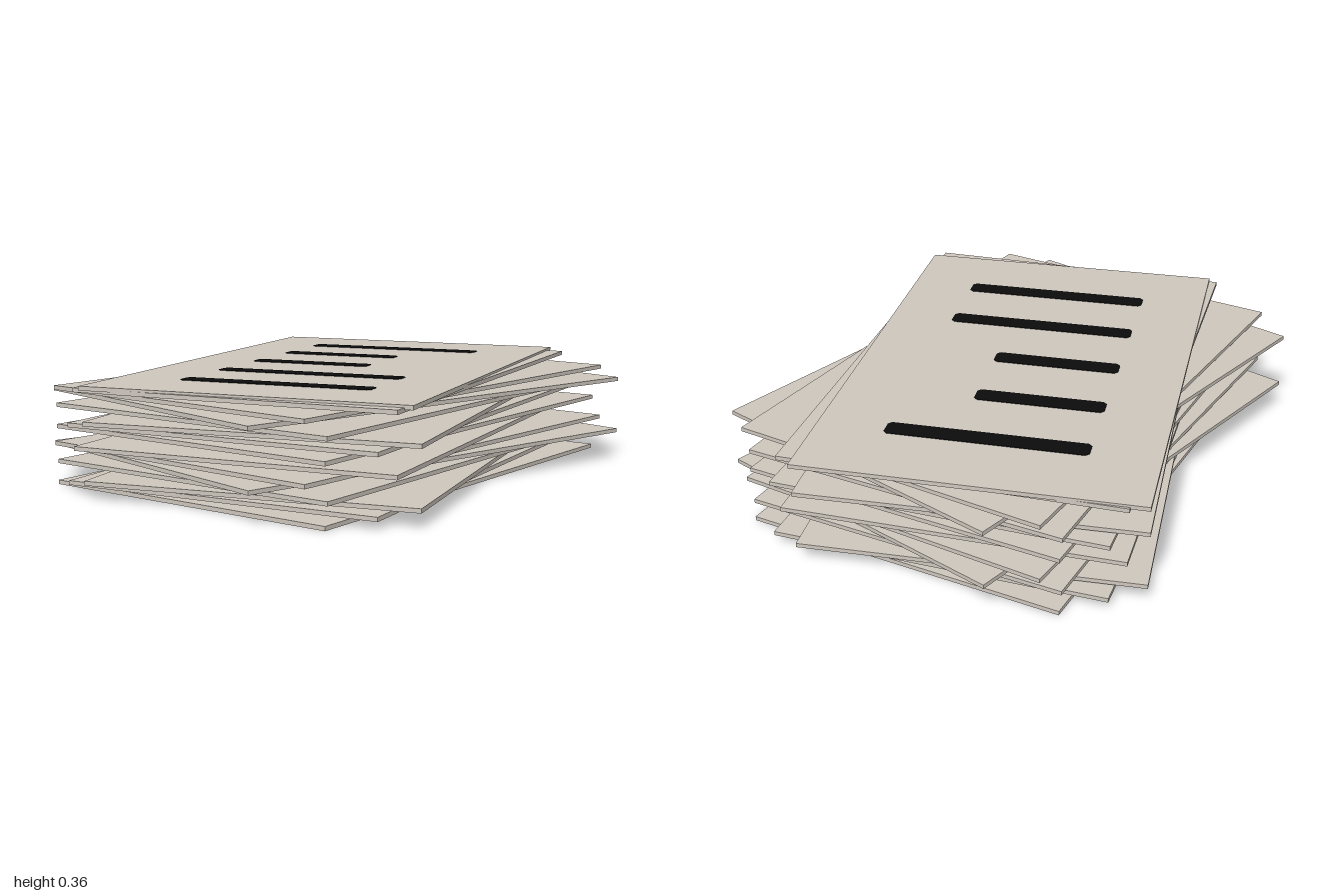
import * as THREE from 'three';

const WIDTH = 1.11, DEPTH = 1.67, THICK = 0.014;

// Height and turn of each sheet in one bundle of seven
const BUNDLE = [
  [0.007, -0.26], [0.033, -0.11], [0.053, 0.0175], [0.079, -0.253],
  [0.103, -0.483], [0.128, -0.318], [0.153, -0.054],
];
const BUNDLE_HEIGHT = 0.188;

// Printed bars on the top sheet: z position and right end
const BARS = [[-0.575, 0.315], [-0.3, 0.09], [0.02 - 0.04, 0.09], [0.26, 0.315], [0.535, 0.315]];

// Flat bar with small clipped corners, lying in the xz plane
function barGeometry(length, width, height) {
  const l = length / 2, w = width / 2, c = 0.012;
  const shape = new THREE.Shape([
    [-l, -w + c], [-l + c, -w], [l - c, -w], [l, -w + c],
    [l, w - c], [l - c, w], [-l + c, w], [-l, w - c],
  ].map(([x, y]) => new THREE.Vector2(x, y)));
  return new THREE.ExtrudeGeometry(shape, { depth: height, bevelEnabled: false }).rotateX(-Math.PI / 2);
}

export function createModel() {
  const model = new THREE.Group();
  model.name = 'paperStack';
  const paper = new THREE.MeshStandardMaterial({ color: 0xcec7be });
  paper.name = 'warm grey paper';
  const ink = new THREE.MeshStandardMaterial({ color: 0x0c0c0c });
  ink.name = 'black ink';

  const sheetGeometry = new THREE.BoxGeometry(WIDTH, THICK, DEPTH);
  function addSheet(name, x, y, z, turn) {
    const sheet = new THREE.Mesh(sheetGeometry, paper);
    sheet.name = name;
    sheet.position.set(x, y, z);
    sheet.rotation.y = turn;
    model.add(sheet);
  }

  // Two identical fanned bundles
  for (let b = 0; b < 2; b++) {
    BUNDLE.forEach(([y, turn], i) => addSheet(`sheet${b * 7 + i + 1}`, 0, y + b * BUNDLE_HEIGHT, 0, turn));
  }

  // Straight top sheet, slightly off centre
  const topY = 0.349;
  addSheet('topSheet', -0.015, topY, -0.02, 0);

  // Printed bars, aligned on the left
  const left = -0.345;
  BARS.forEach(([z, right], i) => {
    const bar = new THREE.Mesh(barGeometry(right - left, 0.07, 0.003), ink);
    bar.name = `printedBar${i + 1}`;
    bar.position.set((left + right) / 2, topY + THICK / 2 - 0.001, z);
    model.add(bar);
  });

  return model;
}
